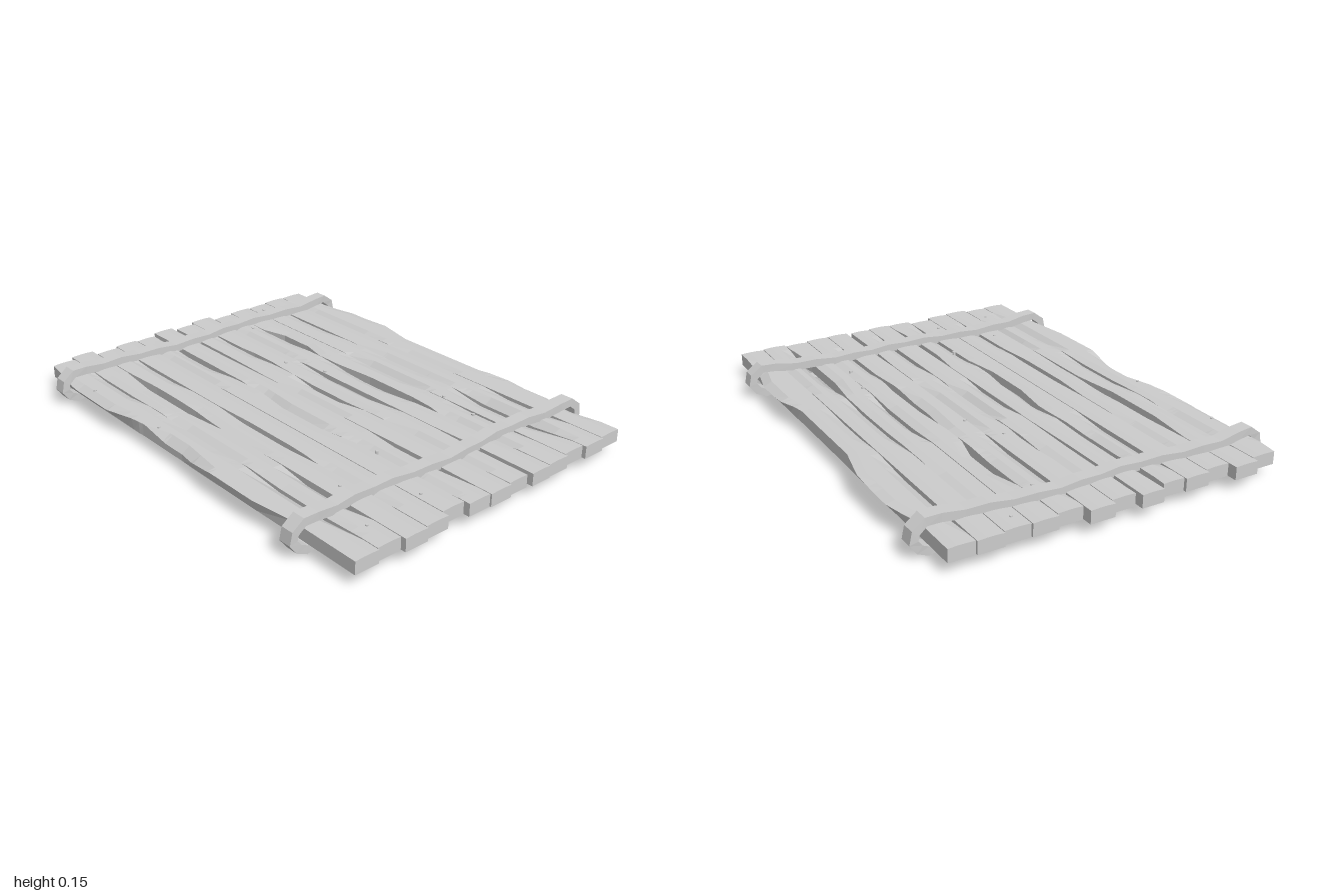
import * as THREE from 'three';

const wood = new THREE.MeshStandardMaterial({ color: 0xcccccc, flatShading: true });

// Skins a run of cross-sections; closed runs join end to start, open ones are capped.
function loft(rings, closed) {
  const pos = [], n = rings[0].length;
  const tri = (...pts) => pts.forEach(p => pos.push(...p));
  const spans = closed ? rings.length : rings.length - 1;
  for (let i = 0; i < spans; i++) {
    const a = rings[i], b = rings[(i + 1) % rings.length];
    for (let j = 0; j < n; j++) {
      const k = (j + 1) % n;
      tri(a[j], b[j], b[k]);
      tri(a[j], b[k], a[k]);
    }
  }
  if (!closed) {
    const s = rings[0], e = rings[rings.length - 1];
    for (let j = 1; j < n - 1; j++) {
      tri(s[0], s[j], s[j + 1]);
      tri(e[0], e[j + 1], e[j]);
    }
  }
  const g = new THREE.BufferGeometry();
  g.setAttribute('position', new THREE.Float32BufferAttribute(pos, 3));
  g.computeVertexNormals();
  return g;
}

// Small repeatable random source
function seeded(seed) {
  return () => {
    seed = (seed * 16807) % 2147483647;
    return seed / 2147483647;
  };
}

const BOTTOM = 0.05, TOP = 0.104, PLANKS = 13, HALF_DEPTH = 0.69;
const seamZ = i => -HALF_DEPTH + i * 2 * HALF_DEPTH / PLANKS;

// Uneven plank ends, back to front
const leftEnds = [-0.975, -0.98, -0.97, -0.975, -0.96, -1, -0.975, -1, -0.97, -0.98, -0.96, -1, -0.97];
const rightEnds = [0.975, 0.985, 0.97, 0.985, 0.99, 0.98, 0.99, 0.985, 0.96, 0.99, 1, 0.98, 0.99];

// Open seams: seam, x from, x to, cut from the plank behind, cut from the plank in front (minus bulges out)
const gaps = [
  [0, -0.78, -0.2, 0, -0.038], [0, 0.25, 0.75, 0, -0.032],
  [2, 0.28, 0.93, 0.008, 0.028],
  [4, -0.72, -0.31, 0.032, 0], [4, -0.19, 0.45, 0.016, 0.014],
  [5, 0.5, 1.3, 0.008, 0.01],
  [6, -0.61, -0.3, 0.008, 0.002],
  [7, -1.2, -0.3, 0.006, 0.006], [7, 0.36, 0.92, 0.002, 0.018],
  [8, -1.2, -0.24, 0.006, 0.016], [8, -0.18, 0.4, -0.015, 0.025],
  [10, -0.19, 0.46, 0.008, 0.014],
  [11, -0.71, 0, 0.012, 0.024],
  [13, -0.97, -0.25, -0.03, 0], [13, 0.02, 0.68, -0.025, 0],
];

// Trapezoid ramp: 0 outside the stretch, 1 along its middle
const ramp = (x, a, b) => THREE.MathUtils.clamp(Math.min(x - a, b - x) / ((b - a) * 0.3), 0, 1);

function plank(p) {
  const x0 = leftEnds[p], x1 = rightEnds[p], random = seeded(977 * (p + 3));
  const chips = [];
  for (const [seam, a, b, behind, ahead] of gaps) {
    if (seam === p) chips.push({ side: -1, a, b, cut: ahead, wear: 0 });
    if (seam === p + 1) chips.push({ side: 1, a, b, cut: behind, wear: 0 });
  }
  // Worn hollows along both edges, near the two ends and the middle
  for (const side of [-1, 1]) {
    for (const middle of [-0.6, 0, 0.6]) {
      const half = 0.22 + 0.14 * random(), wear = Math.max(0, 0.045 * random() - 0.018);
      if (wear > 0) chips.push({ side, a: middle - half, b: middle + half, cut: 0, wear });
    }
  }
  const stops = new Set([x0, x1]);
  for (const { a, b } of chips) {
    for (const t of [0, 0.3, 0.7, 1]) {
      const x = a + (b - a) * t;
      if (x > x0 + 0.02 && x < x1 - 0.02) stops.add(x);
    }
  }
  const edge = (x, side) => {
    let cut = 0.0015, wear = 0.002;
    for (const c of chips) {
      if (c.side !== side) continue;
      const k = ramp(x, c.a, c.b);
      cut += c.cut * k;
      wear += c.wear * k;
    }
    const seam = seamZ(side < 0 ? p : p + 1), z = seam - side * cut;
    return {
      low: [x, BOTTOM, seam - side * Math.max(cut, 0)], // bulges overhang
      top: [x, TOP - wear, z],
      inner: [x, TOP, z - side * 0.036],
    };
  };
  return loft([...stops].sort((a, b) => a - b).map(x => {
    const f = edge(x, 1), b = edge(x, -1);
    return [f.low, f.top, f.inner, b.inner, b.top, b.low];
  }), false);
}

// Strap centre line as [z, y]: bumpy top, hooked end, mirrored hook
const hook = [[0.63, 0.127], [0.69, 0.13], [0.73, 0.1], [0.738, 0.065], [0.715, 0.035], [0.68, 0.018], [0.62, 0.028]];
const strapPath = [];
for (let i = 0; i <= 12; i++) {
  const z = -0.54 + i * 0.09;
  strapPath.push([z, 0.108 + (i % 2) * 0.006 + 0.02 * z * z]);
}
strapPath.push(...hook, ...hook.map(([z, y]) => [-z, y]).reverse());

function strap(x, phase) {
  const n = strapPath.length, half = 0.028, thick = 0.017;
  return loft(strapPath.map(([z, y], i) => {
    const [az, ay] = strapPath[(i + n - 1) % n], [bz, by] = strapPath[(i + 1) % n];
    const len = Math.hypot(bz - az, by - ay);
    const nz = -(by - ay) / len * thick, ny = (bz - az) / len * thick;
    const cx = x + 0.012 * Math.sin(z * 9 + phase);
    return [
      [cx - half, y + ny, z + nz], [cx + half, y + ny, z + nz],
      [cx + half, y - ny, z - nz], [cx - half, y - ny, z - nz],
    ];
  }), true);
}

// Nail heads as [x, z]
const nails = [
  [-0.9, -0.41], [-0.75, -0.23], [-0.34, -0.1], [-0.16, -0.17], [0.34, -0.38], [0.53, -0.35],
  [0.51, 0.15], [0.83, 0.24], [0.61, 0.42], [0.86, 0.52], [-0.63, 0.68], [-0.18, 0.66],
];

export function createModel() {
  const model = new THREE.Group();
  model.name = 'plankDeck';
  const add = (geometry, name) => {
    const mesh = new THREE.Mesh(geometry, wood);
    mesh.name = name;
    model.add(mesh);
    return mesh;
  };
  for (let p = 0; p < PLANKS; p++) add(plank(p), 'plank' + (p + 1));
  add(strap(-0.812, 0.4), 'rightStrap');
  add(strap(0.705, 1.5), 'leftStrap');
  const head = new THREE.CylinderGeometry(0.007, 0.008, 0.014, 6);
  for (const [x, z] of nails) add(head, 'nail').position.set(x, TOP - 0.002, z);
  return model;
}
